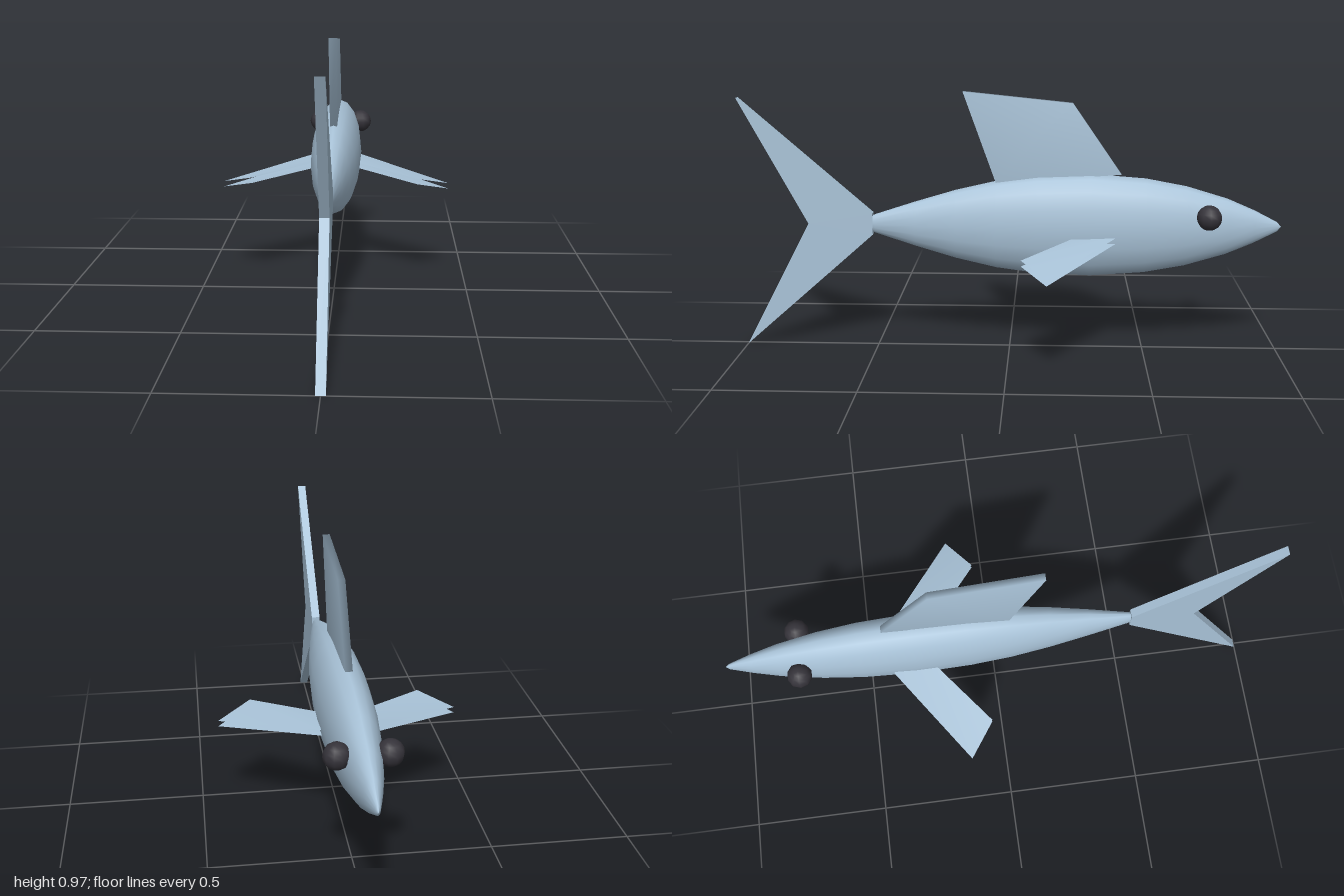
import * as THREE from 'three';
import { mergeVertices } from 'three/addons/utils/BufferGeometryUtils.js';

const skin = new THREE.MeshStandardMaterial({ color: 0xa9c3d8 });
skin.name = 'paleBlueSkin';
const finSkin = new THREE.MeshStandardMaterial({ color: 0xa9c3d8, side: THREE.DoubleSide });
finSkin.name = 'paleBlueFin';
const eyeBlack = new THREE.MeshStandardMaterial({ color: 0x35333a });
eyeBlack.name = 'eyeBlack';

const MID = 0.472; // height of the body axis

// Upright plate from [z, y] corners, centred on x = 0
function plate(corners, thickness) {
  const shape = new THREE.Shape(corners.map(([z, y]) => new THREE.Vector2(-z, y)));
  const geo = new THREE.ExtrudeGeometry(shape, { depth: thickness, bevelEnabled: false });
  geo.translate(0, 0, -thickness / 2);
  geo.rotateY(Math.PI / 2);
  return geo;
}

// Single thin sheet from four [x, y, z] corners
function sheet(corners) {
  const geo = new THREE.BufferGeometry();
  geo.setAttribute('position', new THREE.Float32BufferAttribute(corners.flat(), 3));
  geo.setIndex([0, 2, 1, 0, 3, 2]);
  geo.computeVertexNormals();
  return geo;
}

export function createModel() {
  const model = new THREE.Group();
  const add = (name, geo, mat, parent = model) => {
    const mesh = new THREE.Mesh(geo, mat);
    mesh.name = name;
    parent.add(mesh);
    return mesh;
  };

  // Body: spindle turned about z and flattened sideways; [z, half height]
  const profile = [[-1, 0], [-0.985, 0.018], [-0.9, 0.062], [-0.8, 0.105], [-0.65, 0.15],
    [-0.5, 0.178], [-0.3, 0.193], [-0.1, 0.185], [0.05, 0.165], [0.2, 0.13], [0.35, 0.085],
    [0.5, 0.036], [0.56, 0.01], [0.565, 0]];
  const bodyGeo = new THREE.LatheGeometry(profile.map(([z, r]) => new THREE.Vector2(r, z)), 16);
  bodyGeo.rotateX(Math.PI / 2);
  bodyGeo.scale(0.5, 1, 1);
  bodyGeo.translate(0, MID, 0);
  add('body', bodyGeo, skin);

  // Forked tail
  add('tailFin', plate([[1, 0.94], [0.51, 0.512], [0.51, 0.432], [1, 0], [0.75, MID]], 0.032), skin);

  // Dorsal fin with softly shaded corners
  const dorsal = plate([[0.17, 0.966], [-0.23, 0.925], [-0.41, 0.665], [0.05, 0.63]], 0.026);
  dorsal.deleteAttribute('normal');
  dorsal.deleteAttribute('uv');
  const softDorsal = mergeVertices(dorsal);
  softDorsal.computeVertexNormals();
  add('dorsalFin', softDorsal, skin);

  for (const [side, s] of [['left', 1], ['right', -1]]) {
    // Eye
    add(side + 'Eye', new THREE.SphereGeometry(0.046, 10, 8), eyeBlack)
      .position.set(s * 0.085, 0.522, -0.725);

    // Pectoral fin: two thin sheets, one above the other
    const fin = new THREE.Group();
    fin.name = side + 'PectoralFin';
    for (const [name, drop] of [['upperSheet', 0], ['lowerSheet', 0.021]]) {
      const corners = [[0.08, 0.446, -0.395], [0.433, 0.381, -0.14], [0.312, 0.417, -0.05], [0.08, 0.44, -0.235]]
        .map(([x, y, z]) => [s * x, y - drop, z]);
      add(name, sheet(s > 0 ? corners : corners.reverse()), finSkin, fin);
    }
    model.add(fin);
  }
  return model;
}
